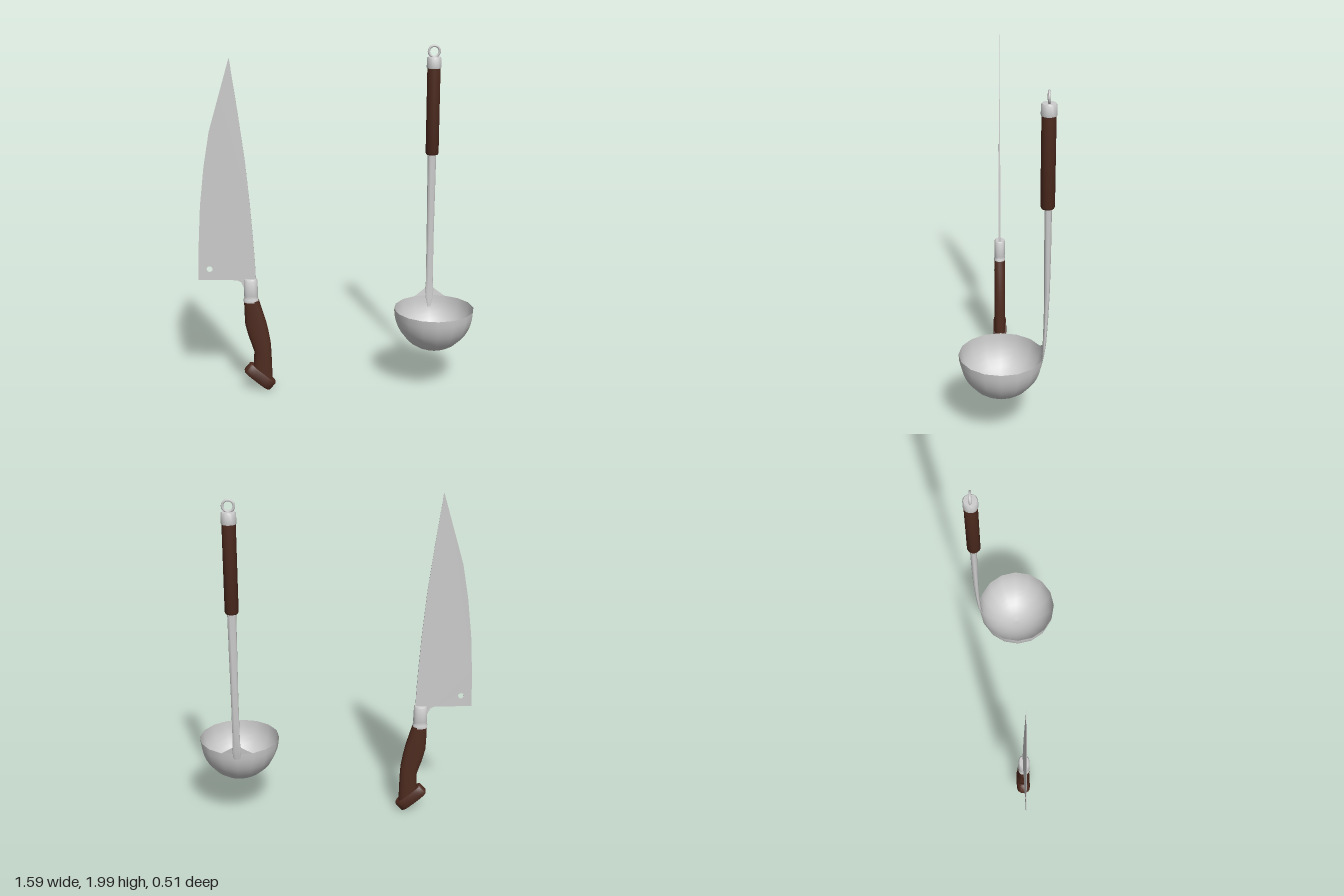
import * as THREE from 'three';
import { toCreasedNormals } from 'three/addons/utils/BufferGeometryUtils.js';

const steel = new THREE.MeshStandardMaterial({ color: 0xcccccc });
const thinSteel = new THREE.MeshStandardMaterial({ color: 0xcccccc, side: THREE.DoubleSide });
const wood = new THREE.MeshStandardMaterial({ color: 0x4e2b1f });

const KNIFE_Z = 0.027;
const LADLE_X = 0.56;
const GRIP_Z = -0.216;

function part(name, geometry, material) {
  const mesh = new THREE.Mesh(geometry, material);
  mesh.name = name;
  return mesh;
}

// Closed loft through rounded sections, listed from top to bottom:
// { x, y, z, w: half width, d: half depth, tilt }
function loft(sections, power = 2, sides = 20) {
  const pos = [], index = [];
  const round = (v) => Math.sign(v) * Math.abs(v) ** (2 / power);
  for (const { x, y, z = KNIFE_Z, w, d, tilt = 0 } of sections) {
    for (let i = 0; i < sides; i++) {
      const a = (i / sides) * Math.PI * 2;
      const u = w * round(Math.cos(a));
      pos.push(x + u * Math.cos(tilt), y + u * Math.sin(tilt), z + d * round(Math.sin(a)));
    }
  }
  const last = sections.length - 1;
  for (const s of [sections[0], sections[last]]) pos.push(s.x, s.y, s.z ?? KNIFE_Z);
  const top = sections.length * sides;
  for (let i = 0; i < sides; i++) {
    const j = (i + 1) % sides;
    for (let r = 0; r < last; r++) {
      const a = r * sides + i, b = r * sides + j;
      index.push(a, b, a + sides, b, b + sides, a + sides);
    }
    index.push(top, j, i, top + 1, last * sides + i, last * sides + j);
  }
  const g = new THREE.BufferGeometry();
  g.setAttribute('position', new THREE.Float32BufferAttribute(pos, 3));
  g.setIndex(index);
  return toCreasedNormals(g, 0.8);
}

// Turned part on a vertical axis
function turned(points, sides = 20) {
  const g = new THREE.LatheGeometry(points.map(([r, y]) => new THREE.Vector2(r, y)), sides);
  return toCreasedNormals(g, 0.8);
}

function createKnife() {
  const knife = new THREE.Group();
  knife.name = 'knife';

  // Blade: flat outline with a hole, ground thin toward the cutting edge and tip
  const outline = [
    [-0.47, 0.68], [-0.474, 0.8], [-0.483, 0.95], [-0.497, 1.15], [-0.52, 1.4], [-0.555, 1.68],
    [-0.595, 1.97], [-0.655, 1.765], [-0.715, 1.56], [-0.75, 1.36], [-0.777, 1.13], [-0.79, 0.92],
    [-0.798, 0.695], [-0.58, 0.692], [-0.556, 0.68], [-0.54, 0.645], [-0.48, 0.645],
  ];
  const shape = new THREE.Shape(outline.map(([x, y]) => new THREE.Vector2(x, y)));
  shape.holes.push(new THREE.Path().absarc(-0.733, 0.76, 0.017, 0, Math.PI * 2, true));
  const blade = new THREE.ExtrudeGeometry(shape, { depth: 1, bevelEnabled: false, curveSegments: 8 });
  const p = blade.attributes.position;
  for (let i = 0; i < p.count; i++) {
    const y = p.getY(i);
    const toTip = THREE.MathUtils.clamp((1.97 - y) / 1.27, 0, 1);
    const toSpine = THREE.MathUtils.clamp((p.getX(i) + 0.8) / 0.3, 0, 1);
    const half = 0.001 + 0.006 * toTip * toSpine;
    p.setZ(i, KNIFE_Z + (p.getZ(i) > 0.5 ? half : -half));
  }
  blade.computeVertexNormals();
  knife.add(part('blade', blade, steel));

  // Metal collar with a small lip where it meets the wood
  knife.add(part('bolster', loft([
    { x: -0.501, y: 0.698, w: 0.034, d: 0.027 },
    { x: -0.501, y: 0.69, w: 0.039, d: 0.032 },
    { x: -0.5, y: 0.6, w: 0.041, d: 0.033 },
    { x: -0.5, y: 0.585, w: 0.038, d: 0.03 },
    { x: -0.5, y: 0.577, w: 0.043, d: 0.034 },
    { x: -0.5, y: 0.56, w: 0.043, d: 0.034 },
  ], 2.5), steel));

  // Curved wooden grip ending on the slanted butt
  knife.add(part('knifeHandle', loft([
    { x: -0.498, y: 0.568, w: 0.043, d: 0.033 },
    { x: -0.488, y: 0.5, w: 0.052, d: 0.034, tilt: 0.08 },
    { x: -0.477, y: 0.43, w: 0.061, d: 0.034, tilt: 0.18 },
    { x: -0.462, y: 0.365, w: 0.06, d: 0.034, tilt: 0.25 },
    { x: -0.446, y: 0.3, w: 0.055, d: 0.034, tilt: 0.15 },
    { x: -0.438, y: 0.25, w: 0.05, d: 0.034 },
    { x: -0.438, y: 0.18, w: 0.055, d: 0.034, tilt: -0.3 },
    { x: -0.438, y: 0.11, w: 0.072, d: 0.034, tilt: -0.71 },
  ], 2.6), wood));

  knife.add(part('knifeButt', loft([
    { x: -0.436, y: 0.12, w: 0.09, d: 0.035, tilt: -0.71 },
    { x: -0.441, y: 0.114, w: 0.097, d: 0.041, tilt: -0.71 },
    { x: -0.473, y: 0.077, w: 0.097, d: 0.041, tilt: -0.71 },
    { x: -0.478, y: 0.071, w: 0.09, d: 0.035, tilt: -0.71 },
  ], 3.2, 28), wood));
  return knife;
}

function createLadle() {
  const ladle = new THREE.Group();
  ladle.name = 'ladle';
  ladle.position.x = LADLE_X;

  // Open half-round bowl
  const R = 0.232, BOWL_Z = 0.025, RIM = 0.5;
  const profile = [];
  for (let i = 0; i <= 10; i++) {
    const a = (i / 10) * Math.PI / 2;
    profile.push(new THREE.Vector2(R * Math.sin(a), RIM - 0.25 * Math.cos(a)));
  }
  const bowl = part('bowl', new THREE.LatheGeometry(profile, 16), thinSteel);
  bowl.position.z = BOWL_Z;
  ladle.add(bowl);

  // Raised lip joining the rim to the stem
  const side = -R * Math.cos(Math.PI / 8) + BOWL_Z, x = R * Math.sin(Math.PI / 8);
  const lip = new THREE.BufferGeometry();
  lip.setAttribute('position', new THREE.Float32BufferAttribute([
    -x, RIM, side, 0, RIM, BOWL_Z - R, x, RIM, side,
    -0.027, 0.543, -0.208, 0, 0.55, -0.212, 0.027, 0.543, -0.208,
  ], 3));
  lip.setIndex([0, 1, 3, 1, 4, 3, 1, 2, 5, 1, 5, 4].reverse());
  lip.computeVertexNormals();
  ladle.add(part('rimLip', lip, thinSteel));

  // Stem flattens and bends into the bowl
  ladle.add(part('stem', loft([
    { x: 0, y: 1.38, z: -0.219, w: 0.025, d: 0.02 },
    { x: 0, y: 1.1, z: -0.22, w: 0.023, d: 0.018 },
    { x: 0, y: 0.88, z: -0.22, w: 0.021, d: 0.015 },
    { x: 0, y: 0.7, z: -0.216, w: 0.021, d: 0.012 },
    { x: 0, y: 0.58, z: -0.211, w: 0.021, d: 0.01 },
    { x: 0, y: 0.53, z: -0.207, w: 0.026, d: 0.008 },
    { x: 0, y: 0.49, z: -0.203, w: 0.022, d: 0.006 },
    { x: 0, y: 0.43, z: -0.193, w: 0.008, d: 0.003 },
  ]), steel));

  const grip = part('ladleHandle', turned([
    [0, 1.363], [0.033, 1.363], [0.038, 1.373], [0.038, 1.87], [0, 1.87],
  ]), wood);
  const cap = part('endCap', turned([
    [0, 1.866], [0.041, 1.866], [0.042, 1.872], [0.041, 1.922], [0.036, 1.93], [0, 1.932],
  ]), steel);
  const ring = part('hangingRing', new THREE.TorusGeometry(0.031, 0.007, 10, 28), steel);
  ring.position.y = 1.962;
  for (const m of [grip, cap, ring]) {
    m.position.z = GRIP_Z;
    ladle.add(m);
  }
  return ladle;
}

export function createModel() {
  const model = new THREE.Group();
  model.name = 'kitchenTools';
  model.add(createKnife(), createLadle());
  return model;
}
